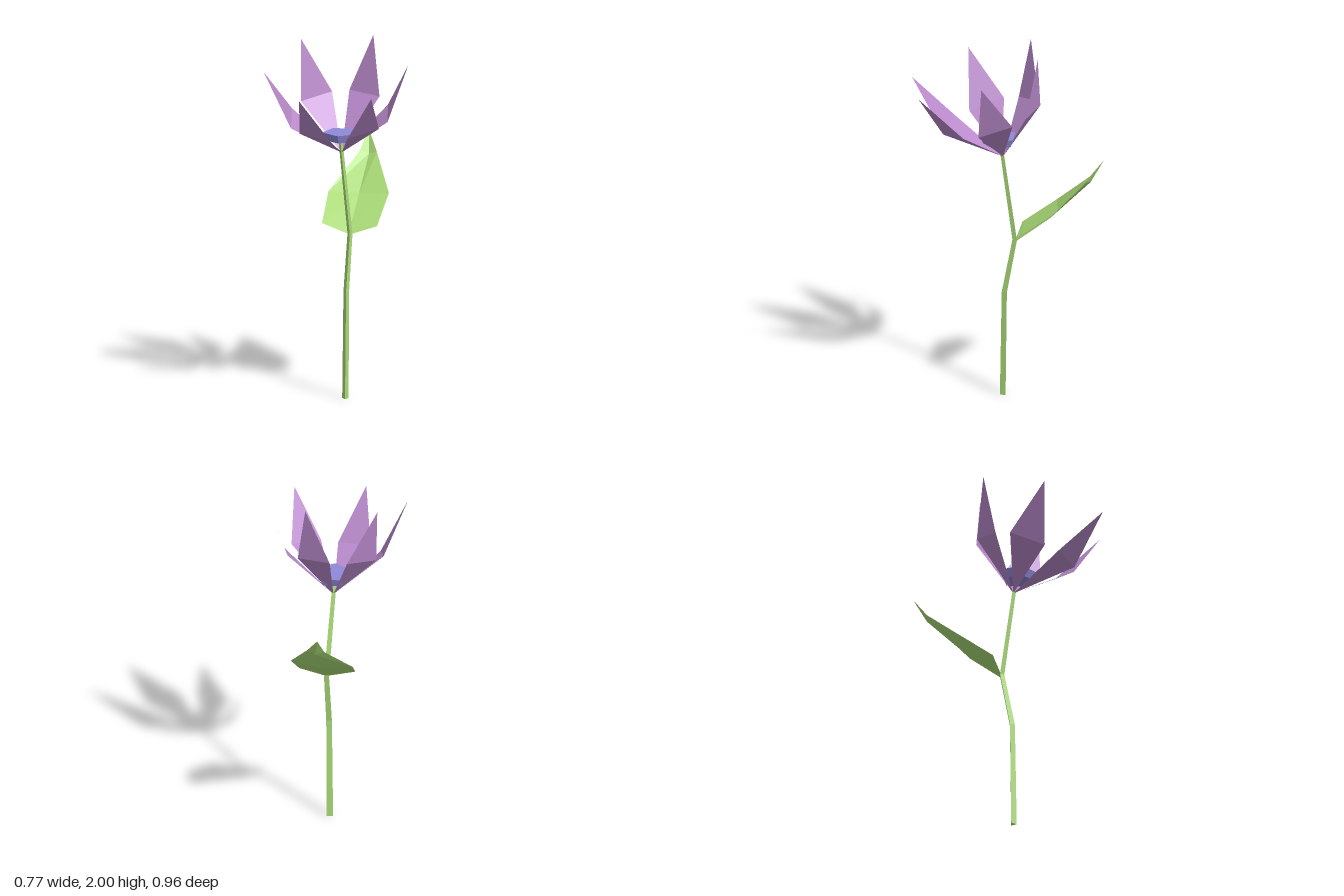
import * as THREE from 'three';

const green = new THREE.MeshStandardMaterial({ name: 'leaf green', color: 0xabdc78, flatShading: true, side: THREE.DoubleSide });
const purple = new THREE.MeshStandardMaterial({ name: 'petal purple', color: 0xb98acb, flatShading: true, side: THREE.DoubleSide });
const blue = new THREE.MeshStandardMaterial({ name: 'centre blue', color: 0x8f88d8, flatShading: true });

// Faceted mesh from a list of three-point faces
function facets(name, faces, material) {
  const geometry = new THREE.BufferGeometry();
  geometry.setAttribute('position', new THREE.Float32BufferAttribute(faces.flat(2), 3));
  geometry.computeVertexNormals();
  const mesh = new THREE.Mesh(geometry, material);
  mesh.name = name;
  return mesh;
}

// Three-sided stem bending through a few stations: x, y, z, radius
function makeStem() {
  const stations = [
    [-0.071, 0, -0.025, 0.02],
    [-0.073, 0.6, -0.034, 0.018],
    [-0.1, 0.91, -0.085, 0.016],
    [-0.084, 1.38, -0.01, 0.013],
    [-0.08, 1.46, 0.002, 0.013],
  ];
  const rings = stations.map(([x, y, z, r]) => [0, 1, 2].map((i) => {
    const a = Math.PI / 4 + (i * Math.PI * 2) / 3;
    return [x + r * Math.sin(a), y, z + r * Math.cos(a)];
  }));
  const faces = [[rings[0][2], rings[0][1], rings[0][0]]];
  for (let s = 0; s < rings.length - 1; s++) {
    for (let i = 0; i < 3; i++) {
      const j = (i + 1) % 3;
      const [a, b, c, d] = [rings[s][i], rings[s][j], rings[s + 1][j], rings[s + 1][i]];
      faces.push([a, b, c], [a, c, d]);
    }
  }
  return facets('stem', faces, green);
}

// Leaf folded along its midrib, from cross-sections: left edge, midrib, right edge
function makeLeaf() {
  const base = [-0.1, 0.905, -0.085];
  const tip = [-0.387, 1.39, -0.478];
  const rows = [
    [base, base, base],
    [[-0.245, 0.955, -0.01], [-0.13, 0.94, -0.115], [0.01, 0.955, -0.185]],
    [[-0.36, 1.09, -0.16], [-0.235, 1.08, -0.272], [-0.075, 1.1, -0.348]],
    [[-0.365, 1.28, -0.395], [-0.33, 1.265, -0.43], [-0.28, 1.28, -0.443]],
    [tip, tip, tip],
  ];
  const faces = [];
  for (let r = 0; r < rows.length - 1; r++) {
    for (let i = 0; i < 2; i++) {
      const [a, b, c, d] = [rows[r][i], rows[r][i + 1], rows[r + 1][i + 1], rows[r + 1][i]];
      if (r > 0) faces.push([a, c, b]);
      if (r < rows.length - 2) faces.push([a, d, c]);
      else faces[faces.length - 1] = [a, tip, b];
    }
  }
  return facets('leaf', faces, green);
}

export function createModel() {
  const flower = new THREE.Group();
  flower.name = 'flower';
  flower.add(makeStem(), makeLeaf());

  // Petals: two side corners and a tip, creased between the sides
  const base = [-0.084, 1.38, -0.01];
  const petals = [
    [[-0.02, 1.67, -0.23], [-0.205, 1.685, -0.175], [-0.095, 2, -0.252]],
    [[0.207, 1.59, -0.086], [0.07, 1.645, -0.212], [0.282, 1.91, -0.172]],
    [[0.185, 1.535, 0.188], [0.233, 1.57, 0], [0.385, 1.795, 0.192]],
    [[-0.065, 1.54, 0.314], [0.12, 1.52, 0.255], [0.114, 1.78, 0.478]],
    [[-0.293, 1.62, 0.167], [-0.155, 1.55, 0.297], [-0.264, 1.865, 0.4]],
    [[-0.27, 1.675, -0.106], [-0.317, 1.64, 0.08], [-0.366, 1.975, 0.035]],
  ];
  petals.forEach(([s1, s2, tip], i) => {
    flower.add(facets(`petal${i + 1}`, [[base, s1, s2], [s1, tip, s2]], purple));
  });

  // Five-sided heart of the blossom
  const centre = new THREE.Mesh(new THREE.CylinderGeometry(0.105, 0.085, 0.045, 5), blue);
  centre.name = 'blossomCentre';
  centre.position.set(-0.067, 1.478, 0.007);
  centre.rotation.y = Math.PI + 0.03;
  flower.add(centre);

  return flower;
}
